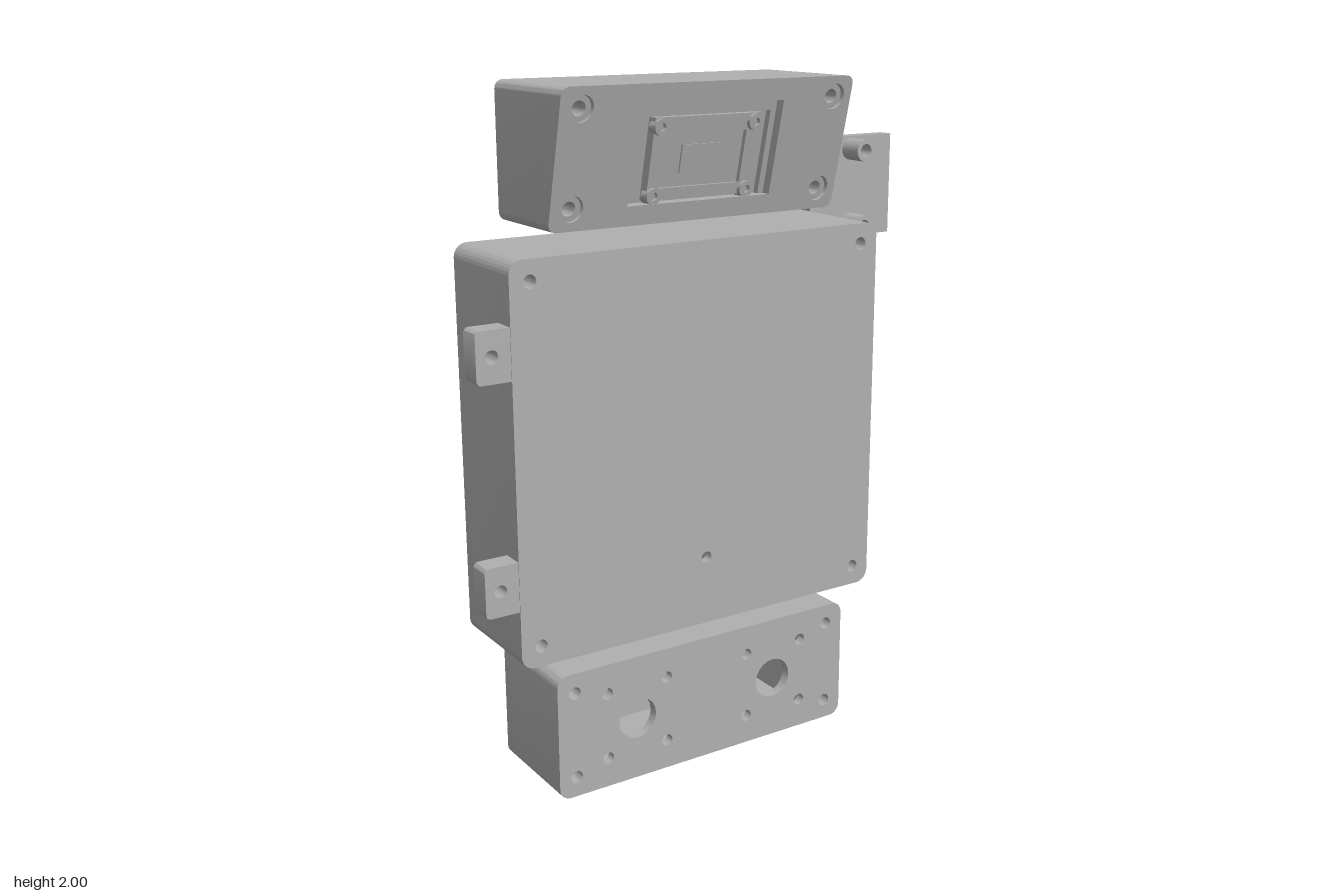
import * as THREE from 'three';
import { toCreasedNormals } from 'three/addons/utils/BufferGeometryUtils.js';

const grey = new THREE.MeshStandardMaterial({ color: 0xb0b0b0 });
grey.name = 'plain grey';

// Rounded rectangle from its four edges; also used for slots and windows
function rect(x0, x1, y0, y1, r = 0, Type = THREE.Shape) {
  const s = new Type();
  if (r === 0) {
    s.moveTo(x0, y0); s.lineTo(x1, y0); s.lineTo(x1, y1); s.lineTo(x0, y1); s.closePath();
    return s;
  }
  s.moveTo(x0 + r, y0);
  s.lineTo(x1 - r, y0); s.absarc(x1 - r, y0 + r, r, -Math.PI / 2, 0, false);
  s.lineTo(x1, y1 - r); s.absarc(x1 - r, y1 - r, r, 0, Math.PI / 2, false);
  s.lineTo(x0 + r, y1); s.absarc(x0 + r, y1 - r, r, Math.PI / 2, Math.PI, false);
  s.lineTo(x0, y0 + r); s.absarc(x0 + r, y0 + r, r, Math.PI, Math.PI * 1.5, false);
  return s;
}
const window = (x0, x1, y0, y1, r = 0) => rect(x0, x1, y0, y1, r, THREE.Path);
const slot = (x, y, w, h) => window(x - w / 2, x + w / 2, y - h / 2, y + h / 2);
const circle = (x, y, r, Type = THREE.Path) => new Type().absarc(x, y, r, 0, Math.PI * 2, false);
// Round holes at every crossing of the given columns and rows
const holes = (xs, ys, r = 0.018) => xs.flatMap(x => ys.map(y => circle(x, y, r)));

// Front slope of the head box
const slope = y => 0.143 + (y - 1.62) / 0.38 * 0.097;

export function createModel() {
  const model = new THREE.Group();
  model.name = 'deviceAssembly';

  // Extrudes a shape from z0 to z1; bend may move z by a rule of y
  function part(name, shape, cuts, z0, z1, bend) {
    shape.holes = cuts;
    let geo = new THREE.ExtrudeGeometry(shape, { depth: z1 - z0, bevelEnabled: false, curveSegments: 10 });
    geo.translate(0, 0, z0);
    if (bend) {
      const p = geo.attributes.position;
      for (let i = 0; i < p.count; i++) p.setZ(i, bend(p.getY(i), p.getZ(i)));
    }
    geo = toCreasedNormals(geo, 0.6);
    const mesh = new THREE.Mesh(geo, grey);
    mesh.name = name;
    model.add(mesh);
    return mesh;
  }
  const tilted = (y, z) => slope(y) + z;

  // Hollow box in three layers: front wall, rim, back wall
  function hollowBox(name, outline, through, cavity, frontCuts, backCuts) {
    part(name + 'Front', rect(...outline), [...through(), ...frontCuts], 0.16, 0.19);
    part(name + 'Rim', rect(...outline), [...through(), cavity], -0.11, 0.16);
    part(name + 'Back', rect(...outline), [...through(), ...backCuts], -0.14, -0.11);
  }

  const slots = () => [0.05, -0.31].flatMap(x => [1.44, 0.55].map(y => slot(x, y, 0.036, 0.15)));

  // Main box
  hollowBox('mainBox', [-0.74, 0.47, 0.435, 1.57, 0.04],
    () => holes([-0.68, 0.41], [0.495, 1.51], 0.019),
    window(-0.62, 0.35, 0.465, 1.54),
    holes([-0.135], [0.64], 0.017),
    [...slots(), slot(0.15, 1.0, 0.026, 0.14), slot(-0.42, 1.0, 0.026, 0.14)]);

  // Mounting tabs
  for (const y of [1.325, 0.68]) {
    part('sideTab', rect(-0.84, -0.725, y - 0.072, y + 0.072, 0.014), holes([-0.795], [y], 0.019), 0.12, 0.188);
  }

  // Lower box with two large round openings
  hollowBox('lowerBox', [-0.635, 0.37, 0.003, 0.385, 0.035],
    () => holes([-0.58, 0.31], [0.063, 0.325], 0.019),
    window(-0.53, 0.26, 0.035, 0.355),
    [...holes([-0.375, 0.107], [0.192], 0.062), ...holes([-0.475, -0.275, 0.01, 0.21], [0.092, 0.295])],
    holes([-0.31, 0.05], [0.192]));

  // Head box with sloping front
  const head = () => rect(-0.6, 0.33, 1.62, 2, 0.025);
  const headX = [-0.537, 0.27], headY = [1.68, 1.943];
  part('headBody', head(), holes(headX, headY, 0.02), -0.14, 0,
    (y, z) => (z < -0.07 ? -0.14 : slope(y) - 0.05));
  part('headFace', head(), [...holes(headX, headY, 0.036), window(-0.367, 0.098, 1.675, 1.94)],
    -0.05, 0, tilted);
  for (const x of headX) for (const y of headY) {
    part('screwSeat', circle(x, y, 0.036, THREE.Shape), holes([x], [y], 0.02), -0.05, -0.015, tilted);
  }

  // Display inside the head recess
  part('displayFrame', rect(-0.3, 0.045, 1.682, 1.908), [window(-0.265, 0, 1.715, 1.862)], -0.05, -0.018, tilted);
  part('displayPanel', rect(-0.265, 0, 1.715, 1.862), [], -0.05, -0.032, tilted);
  part('displayWindow', rect(-0.198, -0.077, 1.752, 1.83), [], -0.032, -0.026, tilted);
  part('topLedge', rect(-0.367, 0.098, 1.912, 1.94), [], -0.05, -0.03, tilted);
  for (const x of [-0.367, 0.08]) {
    part('recessRail', rect(x, x + 0.018, 1.675, 1.912), [], -0.05, -0.03, tilted);
  }
  for (const x of [-0.283, 0.02]) for (const y of [1.695, 1.883]) {
    part('displayScrew', circle(x, y, 0.023, THREE.Shape), holes([x], [y], 0.011), -0.04, -0.004, tilted);
  }

  // Back spine plate
  part('backPlate', rect(-0.375, 0.105, 0.015, 1.99),
    [...holes([-0.31, 0.05], [0.192, 1.0, 1.8]), ...holes([-0.255, -0.015], [1.62]), ...slots()],
    -0.19, -0.14);

  // Side arm with square pad
  const arm = new THREE.Shape([
    [-0.375, 1.567], [0.512, 1.567], [0.512, 1.46], [0.835, 1.46],
    [0.835, 1.78], [0.512, 1.78], [0.512, 1.67], [-0.375, 1.67],
  ].map(([x, y]) => new THREE.Vector2(x, y)));
  part('sideArm', arm, [...holes([-0.255, -0.015], [1.62]), ...holes([0.672], [1.5, 1.74], 0.021)], -0.24, -0.19);
  for (const y of [1.5, 1.74]) {
    part('armStandoff', circle(0.672, y, 0.035, THREE.Shape), holes([0.672], [y], 0.021), -0.19, -0.112);
  }

  return model;
}
